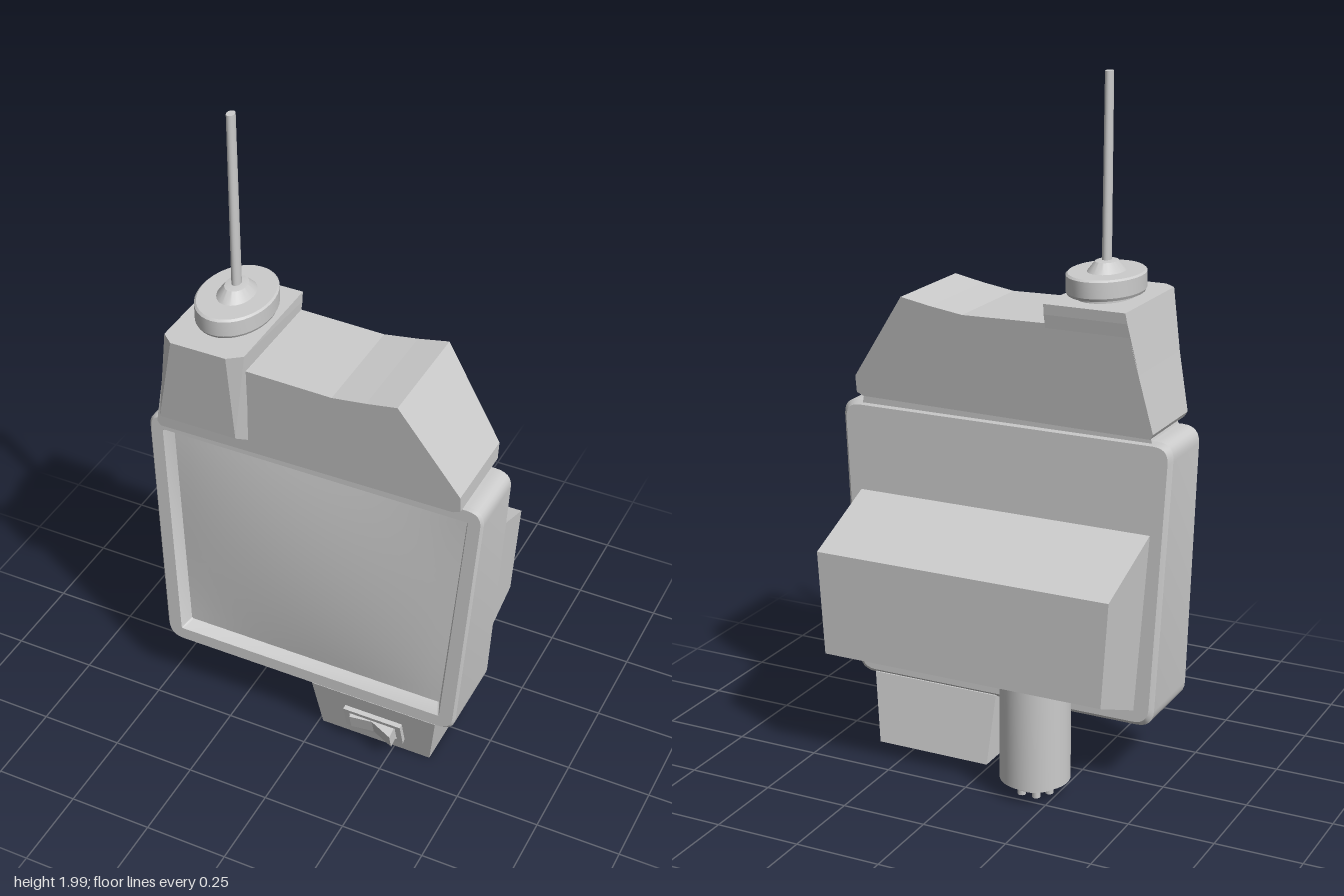
import * as THREE from 'three';
import { toCreasedNormals } from 'three/addons/utils/BufferGeometryUtils.js';
import { ConvexGeometry } from 'three/addons/geometries/ConvexGeometry.js';

const material = new THREE.MeshStandardMaterial({ color: 0xcccccc });
const V = (x, y, z) => new THREE.Vector3(x, y, z);

// Body front and back planes lean with height
const frontZ = (y) => 0.204 - 0.022 * y;
const backZ = (y) => -0.063 + 0.038 * y;

// Tapered body corners, anticlockwise from bottom left, inset by d
function corners(d) {
  return [[-0.482 + d, 0.205 + d], [0.457 - d, 0.205 + d], [0.512 - d, 1.03 - d], [-0.515 + d, 1.03 - d]]
    .map(([x, y]) => new THREE.Vector2(x, y));
}

// Outline with rounded corners, the same point count for any radius
function outline(d, r) {
  const c = corners(d), points = [];
  c.forEach((p, i) => {
    const before = c[(i + 3) % 4].clone().sub(p).setLength(r).add(p);
    const after = c[(i + 1) % 4].clone().sub(p).setLength(r).add(p);
    points.push(...new THREE.QuadraticBezierCurve(before, p, after).getPoints(6));
  });
  return points;
}

// Skin over a list of rings, with a flat cap on the first
function loft(rings) {
  const pos = [], n = rings[0].length;
  const tri = (...pts) => pts.forEach((p) => pos.push(p.x, p.y, p.z));
  const centre = rings[0].reduce((s, p) => s.add(p), V(0, 0, 0)).divideScalar(n);
  for (let i = 0; i < n; i++) {
    const j = (i + 1) % n;
    tri(centre, rings[0][j], rings[0][i]);
    for (let k = 0; k + 1 < rings.length; k++) {
      const a = rings[k], b = rings[k + 1];
      tri(a[i], a[j], b[j]);
      tri(a[i], b[j], b[i]);
    }
  }
  const g = new THREE.BufferGeometry();
  g.setAttribute('position', new THREE.Float32BufferAttribute(pos, 3));
  return toCreasedNormals(g, 0.5);
}

// Convex block between a lower and an upper four-corner section
function block(y0, [x0, x1, z0, z1], y1, [X0, X1, Z0, Z1]) {
  const section = (y, a, b, c, d) => [V(a, y, c), V(b, y, c), V(b, y, d), V(a, y, d)];
  return new ConvexGeometry([...section(y0, x0, x1, z0, z1), ...section(y1, X0, X1, Z0, Z1)]);
}

export function createModel() {
  const model = new THREE.Group();
  const add = (name, geometry, parent = model) => {
    const mesh = new THREE.Mesh(geometry, material);
    mesh.name = name;
    parent.add(mesh);
    return mesh;
  };

  // Main case with the recessed screen surround
  const ring = (d, r, z) => outline(d, r).map((p) => V(p.x, p.y, z(p.y)));
  add('mainCase', loft([
    ring(0.012, 0.045, backZ),
    ring(0, 0.05, (y) => backZ(y) + 0.012),
    ring(0, 0.05, (y) => frontZ(y) - 0.008),
    ring(0.007, 0.045, frontZ),
    ring(0.046, 0.006, frontZ),
    ring(0.062, 0.006, (y) => frontZ(y) - 0.04),
  ]));

  // Gently bulging screen
  const screen = new THREE.PlaneGeometry(2, 2, 20, 20);
  const [bl, br, tr, tl] = corners(0.06);
  const p = screen.attributes.position;
  for (let i = 0; i < p.count; i++) {
    const u = p.getX(i), v = p.getY(i);
    const low = bl.clone().lerp(br, (u + 1) / 2), high = tl.clone().lerp(tr, (u + 1) / 2);
    const q = low.lerp(high, (v + 1) / 2);
    p.setXYZ(i, q.x, q.y, frontZ(q.y) - 0.038 + 0.028 * (1 - u * u) * (1 - v * v));
  }
  screen.computeVertexNormals();
  add('screen', screen);

  // Neck joining case and top cover
  add('neck', block(1.0, [-0.46, 0.45, -0.018, 0.176], 1.06, [-0.44, 0.44, -0.018, 0.176]));

  // Top cover, growing deeper with height
  const side = new THREE.Shape([
    [-0.447, 1.035], [0.44, 1.045], [0.462, 1.055], [0.462, 1.105], [0.29, 1.362],
    [0.2, 1.345], [0.1, 1.33], [-0.15, 1.335], [-0.39, 1.362], [-0.456, 1.05],
  ].map(([x, y]) => new THREE.Vector2(x, y)));
  const cover = new THREE.ExtrudeGeometry(side, { depth: 1, bevelEnabled: false });
  const c = cover.attributes.position;
  for (let i = 0; i < c.count; i++) {
    const h = c.getY(i) - 1.04;
    c.setZ(i, c.getZ(i) > 0.5 ? 0.227 + 0.11 * h : -0.022 - 0.14 * h);
  }
  cover.computeVertexNormals();
  add('topCover', cover);

  // Antenna housing with chamfered front
  add('antennaHousing', new ConvexGeometry([
    V(-0.39, 1.39, -0.071), V(-0.39, 1.39, 0.27), V(-0.355, 1.39, 0.3),
    V(-0.19, 1.39, 0.3), V(-0.15, 1.39, 0.27), V(-0.15, 1.39, -0.071),
    V(-0.395, 1.36, -0.068), V(-0.15, 1.36, -0.068),
    V(-0.425, 1.1, 0.262), V(-0.19, 1.1, 0.262),
    V(-0.445, 1.08, 0.228), V(-0.165, 1.08, 0.228),
    V(-0.445, 1.08, -0.02), V(-0.165, 1.08, -0.02),
  ]));

  // Oval antenna base and rod
  const antenna = new THREE.Group();
  antenna.name = 'antenna';
  antenna.position.set(-0.26, 0, 0.1);
  antenna.scale.set(0.72, 1, 1);
  model.add(antenna);
  const profile = (pts) => toCreasedNormals(
    new THREE.LatheGeometry(pts.map(([r, y]) => new THREE.Vector2(r, y)), 40), 0.5);
  add('antennaBase', profile([
    [0.11, 1.38], [0.11, 1.402], [0.14, 1.402], [0.145, 1.41], [0.145, 1.455], [0.138, 1.46],
    [0.07, 1.46], [0.042, 1.487], [0, 1.492],
  ]), antenna);
  const rod = add('antennaRod', new THREE.CylinderGeometry(0.016, 0.018, 0.53, 16), antenna);
  rod.position.y = 1.735;

  // Wedge-shaped rear housing
  const rear = [];
  for (const s of [-1, 1]) {
    for (const [z, y, w] of [[0, 0.78, 0.453], [-0.297, 0.66, 0.447], [-0.297, 0.355, 0.428], [0, 0.228, 0.42]]) {
      rear.push(V(s * w - 0.005, y, z));
    }
  }
  add('rearHousing', new ConvexGeometry(rear));

  // Switch pod under the case
  add('switchPod', block(0.008, [0.012, 0.364, -0.095, 0.145], 0.21, [0.003, 0.4, -0.053, 0.199]));

  // Framed rocker switch on the leaning pod front
  const control = new THREE.Group();
  control.name = 'switch';
  control.position.set(0.197, 0.107, 0.172);
  control.rotation.x = 0.275;
  model.add(control);
  const rect = (Type, w, h) => new Type([[-w, -h], [w, -h], [w, h], [-w, h]]
    .map(([x, y]) => new THREE.Vector2(x, y)));
  const bezel = rect(THREE.Shape, 0.092, 0.044);
  bezel.holes.push(rect(THREE.Path, 0.074, 0.03));
  add('switchFrame', new THREE.ExtrudeGeometry(bezel, { depth: 0.014, bevelEnabled: false }), control);
  const rocker = new THREE.Shape([[-0.07, 0], [0.07, 0], [0.07, 0.045], [0, 0.016], [-0.07, 0.024]]
    .map(([x, y]) => new THREE.Vector2(x, y)));
  const key = new THREE.ExtrudeGeometry(rocker, { depth: 0.054, bevelEnabled: false });
  key.rotateX(Math.PI / 2).translate(0, 0.027, 0);
  add('switchRocker', key, control);

  // Round connector with hollow end and pins
  const plug = new THREE.Group();
  plug.name = 'connector';
  plug.position.set(-0.185, 0, -0.182);
  model.add(plug);
  add('connectorShell', profile([
    [0, 0.095], [0.085, 0.095], [0.085, 0.055], [0.1, 0.055], [0.1, 0.42], [0, 0.42],
  ]), plug);
  add('connectorCore', new THREE.CylinderGeometry(0.062, 0.062, 0.065, 24), plug).position.y = 0.064;
  for (let i = 0; i < 6; i++) {
    const a = (i / 6) * Math.PI * 2;
    const pin = add('connectorPin', new THREE.CylinderGeometry(0.012, 0.012, 0.05, 10), plug);
    pin.position.set(0.045 * Math.cos(a), 0.037, 0.045 * Math.sin(a));
  }
  return model;
}
